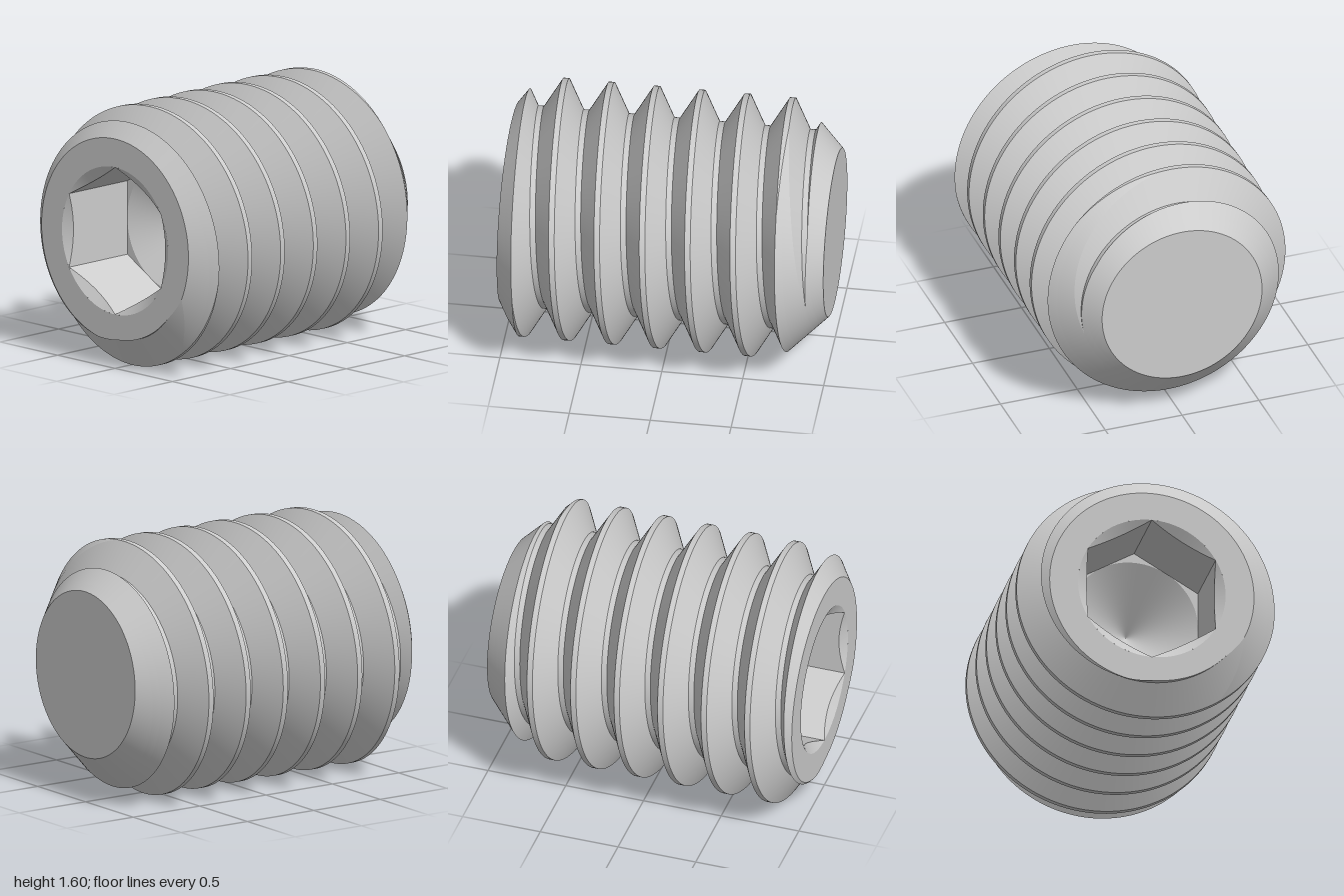
import * as THREE from 'three';
import { mergeGeometries } from 'three/addons/utils/BufferGeometryUtils.js';

const TAU = Math.PI * 2;
const PITCH = 0.28, PHASE = 0.63;             // crest sits at z = PHASE + PITCH * angle / TAU
const CREST = 0.8, ROOT = 0.618;              // thread radii
const FLAT = 0.0175, FLANK = 0.1225;          // half crest width, foot of the flank
const FRONT_R = 0.64, FRONT_SLOPE = 1.38;     // front chamfer
const BACK_R = 0.52;                          // back chamfer, 45 degrees
const APOTHEM = 0.4, CORNER = APOTHEM / Math.cos(Math.PI / 6);
const FLOOR_Z = 0.5;
const DRILL_SLOPE = 0.6;                      // depth per radius of the conical cuts

const frontCone = (z) => FRONT_R + FRONT_SLOPE * (1 - z);
const backCone = (z) => BACK_R + (z + 1);

// Surface between two curves around the z axis; each curve gives [radius, z, visible]
function ribbon(n, t0, t1, curveA, curveB) {
  const pos = [], idx = [];
  let wasVisible = false;
  for (let j = 0; j <= n; j++) {
    const t = t0 + (t1 - t0) * j / n;
    const a = curveA(t), b = curveB(t);
    for (const [r, z] of [a, b]) pos.push(r * Math.cos(t), r * Math.sin(t), z);
    const visible = a[2] !== false;
    if (j > 0 && (visible || wasVisible)) {
      const k = 2 * j;
      idx.push(k - 2, k, k + 1, k - 2, k + 1, k - 1);
    }
    wasVisible = visible;
  }
  const g = new THREE.BufferGeometry();
  g.setAttribute('position', new THREE.Float32BufferAttribute(pos, 3));
  g.setIndex(idx);
  g.computeVertexNormals();
  return g;
}

// Thread radius at any point
function threadRadius(t, z) {
  const s = (z - PHASE - PITCH * t / TAU) / PITCH;
  const u = Math.abs(s - Math.round(s)) * PITCH;
  return THREE.MathUtils.clamp(CREST - (CREST - ROOT) * (u - FLAT) / (FLANK - FLAT), ROOT, CREST);
}

// One helical face of the thread, trimmed to where `surface` is the lowest of
// the thread face and the two chamfer cones
function helicalFace([u0, r0, u1, r1], surface) {
  const span = (t) => {
    const c = PHASE + PITCH * t / TAU;
    const a = c + u0, b = c + u1;
    const face = (z) => r0 + (r1 - r0) * (z - a) / (b - a);
    const all = [face, frontCone, backCone];
    const own = all[surface];
    let lo = Math.max(a, -1), hi = Math.min(b, 1);
    for (const other of all) {
      if (other === own) continue;
      const da = other(a) - own(a), db = other(b) - own(b);
      if (da < 0 && db < 0) {
        // hidden here: shrink to the end nearest to showing
        if (da > db) hi = Math.min(hi, a);
        else lo = Math.max(lo, b);
      } else if (da < 0 || db < 0) {
        const cut = a + (b - a) * da / (da - db);
        if (da < 0) lo = Math.max(lo, cut);
        else hi = Math.min(hi, cut);
      }
    }
    const visible = hi > lo;
    if (!visible) lo = hi = THREE.MathUtils.clamp((lo + hi) / 2, -1, 1);
    const radius = (z) => Math.min(CREST, ...all.map((f) => f(z)));
    return { lo, hi, radius, visible };
  };
  const edge = (key) => (t) => {
    const s = span(t);
    return [s.radius(s[key]), s[key], s.visible];
  };
  return ribbon(12 * 144, -7 * TAU, 5 * TAU, edge('lo'), edge('hi'));
}

export function createModel() {
  const model = new THREE.Group();
  model.name = 'setScrew';
  const steel = new THREE.MeshStandardMaterial({ color: 0xcccccc });
  steel.name = 'greySteel';

  const screw = new THREE.Group();
  screw.name = 'screw';
  screw.position.y = CREST;
  model.add(screw);
  const add = (name, geometry) => {
    const mesh = new THREE.Mesh(geometry, steel);
    mesh.name = name;
    screw.add(mesh);
  };

  // Threaded shank and its end chamfers
  const faces = [
    [-FLANK, ROOT, -FLAT, CREST],
    [-FLAT, CREST, FLAT, CREST],
    [FLAT, CREST, FLANK, ROOT],
    [FLANK, ROOT, PITCH - FLANK, ROOT],
  ];
  ['thread', 'frontChamfer', 'backChamfer'].forEach((name, surface) => {
    add(name, mergeGeometries(faces.map((f) => helicalFace(f, surface))));
  });

  // End faces
  const ring = (r, z) => () => [r, z];
  add('frontFace', ribbon(288, 0, TAU,
    (t) => [Math.min(FRONT_R, threadRadius(t, 1)), 1], ring(CORNER, 1)));
  add('backFace', ribbon(144, 0, TAU, ring(0, -1), ring(BACK_R, -1)));

  // Hexagonal socket: lead-in chamfer, six walls, floor corners, drill point
  const hexRadius = (t) => {
    const s = t / (Math.PI / 3);
    return APOTHEM / Math.cos((s - Math.round(s)) * Math.PI / 3);
  };
  const hexTop = (t) => [hexRadius(t), 1 - (CORNER - hexRadius(t)) * DRILL_SLOPE];
  const hexBottom = (t) => [hexRadius(t), FLOOR_Z];
  add('socketChamfer', ribbon(144, 0, TAU, ring(CORNER, 1), hexTop));
  for (let i = 0; i < 6; i++) {
    const mid = i * Math.PI / 3;
    add('socketWall', ribbon(24, mid - Math.PI / 6, mid + Math.PI / 6, hexTop, hexBottom));
  }
  add('socketFloor', ribbon(144, 0, TAU, hexBottom, ring(APOTHEM, FLOOR_Z)));
  add('drillPoint', ribbon(144, 0, TAU,
    ring(APOTHEM, FLOOR_Z), ring(0, FLOOR_Z - APOTHEM * DRILL_SLOPE)));

  return model;
}
